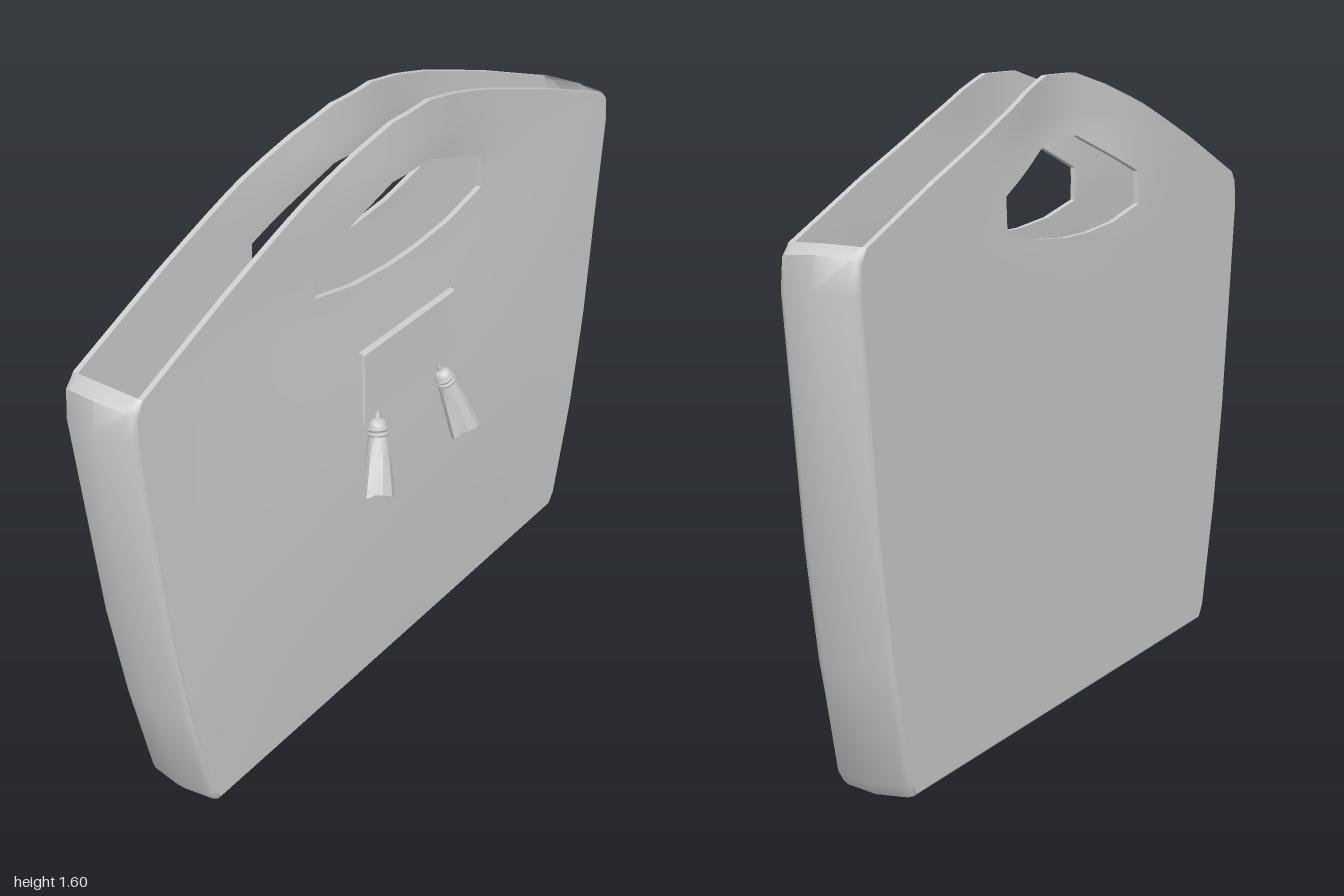
import * as THREE from 'three';
import { toCreasedNormals } from 'three/addons/utils/BufferGeometryUtils.js';

const material = new THREE.MeshStandardMaterial({ color: 0xcccccc });
const doubleSided = new THREE.MeshStandardMaterial({ color: 0xcccccc, side: THREE.DoubleSide });

function addMesh(parent, name, geometry, mat = material) {
  const mesh = new THREE.Mesh(geometry, mat);
  mesh.name = name;
  parent.add(mesh);
  return mesh;
}

// Skin rows of [x, y, z] points; optionally close the surface both ways round
function skin(rows, closed, crease) {
  const n = rows[0].length, index = [];
  const iMax = closed ? rows.length : rows.length - 1, jMax = closed ? n : n - 1;
  for (let i = 0; i < iMax; i++) {
    for (let j = 0; j < jMax; j++) {
      const i2 = (i + 1) % rows.length, j2 = (j + 1) % n;
      const a = i * n + j, b = i2 * n + j, c = i2 * n + j2, d = i * n + j2;
      index.push(a, b, d, b, c, d);
    }
  }
  const g = new THREE.BufferGeometry();
  g.setAttribute('position', new THREE.Float32BufferAttribute(rows.flat(2), 3));
  g.setIndex(index);
  return toCreasedNormals(g, crease);
}

// Mirror half of an outline [z, y] (given from top to bottom) into a full one
const mirror = (half) => [...half, ...half.map(([z, y]) => [-z, y]).reverse()];

// Panel edge, gusset ridge and handle opening
const edgeHalf = [[0.94, 1.283], [0.96, 1.25], [0.963, 1.18], [0.90, 0.61], [0.852, 0.33], [0.785, 0.045], [0.765, 0.015]];
const ridgeHalf = [[0.945, 1.288], [0.985, 1.268], [1.0, 1.19], [0.93, 0.62], [0.876, 0.33], [0.812, 0.035], [0.785, 0]];
const outline = mirror([[0.075, 1.6], [0.2, 1.567], [0.37, 1.51], [0.66, 1.40], ...edgeHalf]);
const opening = mirror([[0.075, 1.445], [0.345, 1.335], [0.345, 1.25], [0.2, 1.218], [0.06, 1.206]]);
const CENTRE_Y = 1.32;

// Distance from the opening's centre to a polygon along an angle
function reach(polygon, angle) {
  const c = Math.cos(angle), s = Math.sin(angle);
  let best = 0;
  polygon.forEach(([z1, y1], i) => {
    const [z2, y2] = polygon[(i + 1) % polygon.length];
    const ez = z2 - z1, ey = y2 - y1, det = c * ey - s * ez;
    if (Math.abs(det) < 1e-9) return;
    const r = (z1 * ey - (y1 - CENTRE_Y) * ez) / det;
    const u = (z1 * s - (y1 - CENTRE_Y) * c) / det;
    if (r > 0 && u > -1e-6 && u < 1 + 1e-6) best = Math.max(best, r);
  });
  return best;
}

// Thin bent sheet with a handle opening; surface(y, z) gives its outermost x
function panelGeometry(surface, thickness) {
  const steps = 14;
  const angles = [...outline, ...opening].map(([z, y]) => Math.atan2(y - CENTRE_Y, z));
  for (let i = 0; i < 72; i++) angles.push(-Math.PI + ((i + 0.37) * Math.PI) / 36);
  angles.sort((a, b) => a - b);
  const unique = angles.filter((a, i) => i === 0 || a - angles[i - 1] > 1e-4);
  const rows = unique.map((angle) => {
    const r0 = reach(opening, angle), r1 = reach(outline, angle);
    const front = [], back = [];
    for (let k = 0; k <= steps; k++) {
      const r = r0 + ((r1 - r0) * k) / steps;
      const z = r * Math.cos(angle), y = CENTRE_Y + r * Math.sin(angle);
      const x = surface(y, z);
      front.push([x, y, z]);
      back.unshift([x - thickness, y, z]);
    }
    return [...front, ...back];
  });
  return skin(rows, true, 0.6);
}

// Bend of the handle near the middle of the bag
const handleBend = (y, z) => THREE.MathUtils.smoothstep(y, 1.17, 1.5) * Math.exp(-((z / 0.26) ** 2));
const bulge = (y, z) =>
  Math.cos((z * Math.PI) / 2) * Math.sin((Math.PI * THREE.MathUtils.clamp(y, 0, 1.3)) / 1.3);
const leftX = (y, z) => 0.045 + 0.022 * bulge(y, z) + 0.032 * handleBend(y, z);
const rightX = (y, z) => -0.141 + 0.05 * handleBend(y, z);

// U-shaped strip joining the panels, swelling to a ridge in the middle
function gussetGeometry() {
  const section = [[-0.1, 0], [-0.096, 0.35], [-0.082, 0.62], [0, 1], [0.082, 0.62], [0.096, 0.35], [0.1, 0]];
  const edge = mirror(edgeHalf), ridge = mirror(ridgeHalf);
  const rows = edge.map(([z, y], i) => section.map(([x, t]) => [
    x - 0.055,
    THREE.MathUtils.lerp(y, ridge[i][1], t),
    THREE.MathUtils.lerp(z, ridge[i][0], t),
  ]));
  return skin(rows, false, 0.75);
}

// Rectangular patch with a slightly arched lower edge
function patchGeometry() {
  const s = new THREE.Shape();
  s.moveTo(-0.195, 0.83);
  s.quadraticCurveTo(0, 0.845, 0.195, 0.83);
  s.lineTo(0.195, 1.03);
  s.lineTo(-0.195, 1.03);
  const g = new THREE.ExtrudeGeometry(s, {
    depth: 0.016, bevelThickness: 0.004, bevelSize: 0.004, bevelOffset: -0.004, bevelSegments: 1, curveSegments: 8,
  });
  return g.rotateY(Math.PI / 2);
}

// Fringe flaring downwards with pleated, uneven folds
function fringeGeometry() {
  const g = new THREE.CylinderGeometry(0.024, 0.052, 0.155, 12, 4);
  const p = g.attributes.position;
  for (let i = 0; i < p.count; i++) {
    const x = p.getX(i), y = p.getY(i), z = p.getZ(i);
    const low = 0.5 - y / 0.155;
    const a = Math.atan2(z, x);
    const fold = 1 + low * (0.13 * Math.cos(3 * a) + 0.07 * Math.sin(5 * a));
    p.setXYZ(i, x * fold * (1 - 0.35 * low), y + 0.008 * low * Math.sin(2 * a), z * fold);
  }
  return toCreasedNormals(g, 0.6);
}

function tassel(side) {
  const group = new THREE.Group();
  group.name = side > 0 ? 'frontTassel' : 'backTassel';
  addMesh(group, 'tasselCord', new THREE.CylinderGeometry(0.008, 0.008, 0.05, 8)).position.y = -0.008;
  addMesh(group, 'tasselCap', new THREE.SphereGeometry(0.025, 12, 8)).position.y = -0.042;
  for (const y of [-0.045, -0.058]) {
    const band = addMesh(group, 'tasselBand', new THREE.TorusGeometry(0.022, 0.006, 6, 14));
    band.rotation.x = Math.PI / 2;
    band.position.y = y;
  }
  addMesh(group, 'tasselFringe', fringeGeometry()).position.y = -0.137;
  // Hang outwards and away from the middle
  const direction = new THREE.Vector3(0.048, -0.19, side * 0.056).normalize();
  group.quaternion.setFromUnitVectors(new THREE.Vector3(0, -1, 0), direction);
  group.position.set(0.068, 0.835, side * 0.133);
  return group;
}

export function createModel() {
  const bag = new THREE.Group();
  bag.name = 'handbag';
  addMesh(bag, 'leftPanel', panelGeometry(leftX, 0.014));
  addMesh(bag, 'rightPanel', panelGeometry(rightX, 0.014));
  addMesh(bag, 'gusset', gussetGeometry(), doubleSided);
  addMesh(bag, 'patch', patchGeometry()).position.x = 0.054;
  bag.add(tassel(1), tassel(-1));
  return bag;
}
